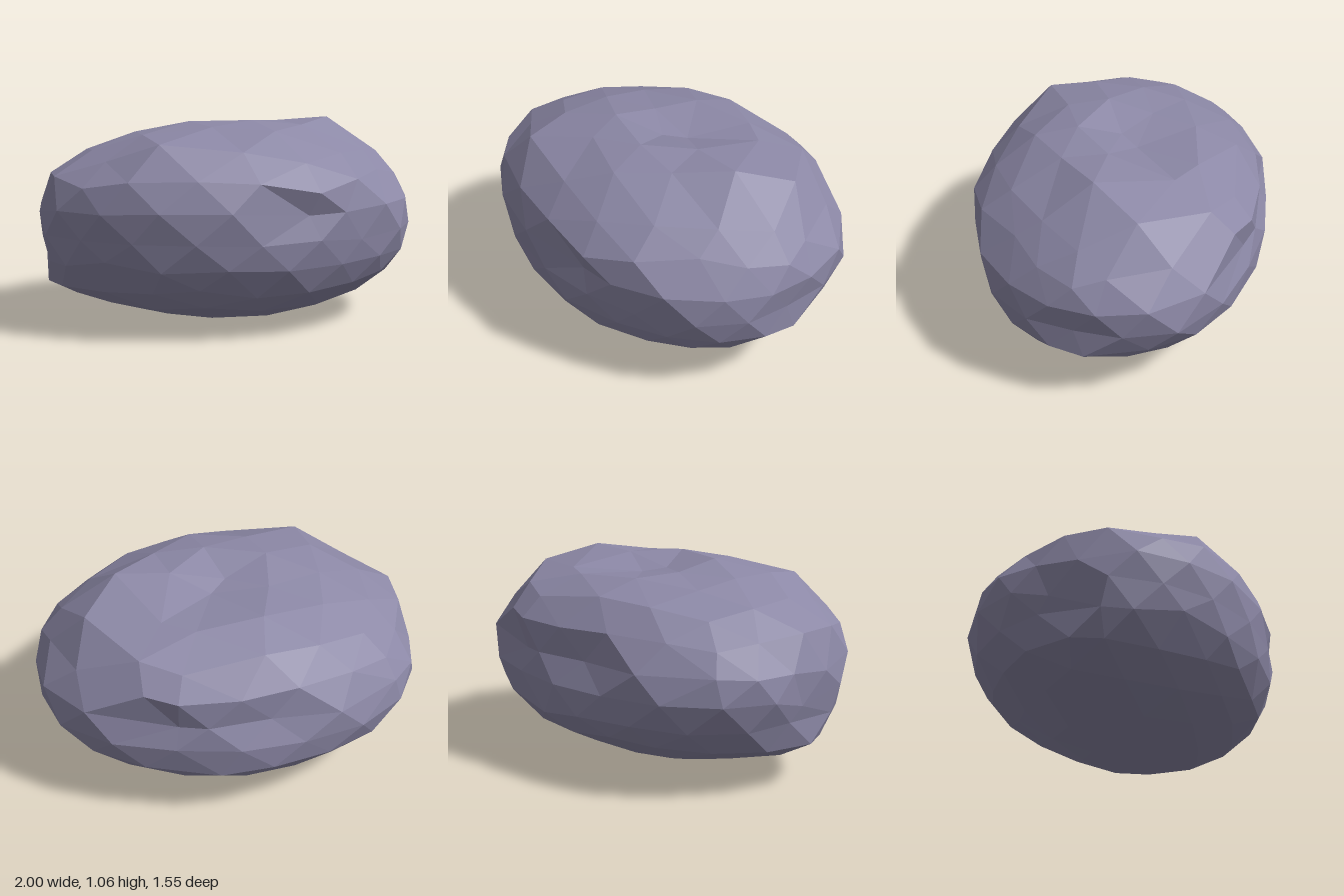
import * as THREE from 'three';
import { mergeVertices } from 'three/addons/utils/BufferGeometryUtils.js';

const CENTRE = new THREE.Vector3(0, 0.5, 0);
const RADII = new THREE.Vector3(1, 0.5, 0.76);

// Landmarks on the stone that the surface passes through
const landmarks = [
  // summit and ridge
  [0.56, 1.06, 0], [0.72, 0.98, -0.25], [0.35, 1.03, 0.22], [0.15, 1.01, 0.42], [-0.15, 1.03, 0.33],
  // front rim
  [-0.05, 0.92, 0.58], [-0.45, 0.96, 0.52], [-0.69, 0.87, 0.37], [-0.93, 0.79, 0.22], [-0.73, 0.91, 0.13],
  // top
  [-0.47, 0.96, -0.24], [0.08, 0.97, -0.1], [0.35, 0.99, -0.35], [0.47, 0.92, -0.55], [-0.13, 0.93, -0.58],
  // back ledge with the hollow under it
  [0.46, 0.8, -0.67], [0.3, 0.78, -0.73], [0, 0.78, -0.73], [0.3, 0.62, -0.7], [-0.15, 0.63, -0.7],
  // low shoulder at the back and right end
  [-0.5, 0.63, -0.69], [-0.82, 0.63, -0.48], [-0.94, 0.62, -0.33], [-0.98, 0.62, -0.12], [-1, 0.6, 0.1],
  // front ledge and sloped corner
  [0, 0.78, 0.72], [0.3, 0.73, 0.72], [0.53, 0.78, 0.59], [0.72, 0.8, 0.35], [0.25, 0.62, 0.69],
  // left end
  [0.91, 0.78, -0.15], [1, 0.63, -0.12], [0.97, 0.49, 0], [0.98, 0.34, -0.05], [0.84, 0.7, -0.47], [0.82, 0.5, 0.45],
  // waist
  [0, 0.49, 0.76], [0.55, 0.48, 0.61], [-0.47, 0.36, 0.66], [-0.72, 0.4, 0.52], [-0.96, 0.36, 0.2],
  [-0.98, 0.45, -0.05], [-0.96, 0.23, 0.05], [0.1, 0.33, -0.76],
  // underside
  [0, 0.22, 0.66], [0.85, 0.22, 0], [0, 0.14, -0.5], [-0.52, 0.08, 0], [0, 0, 0],
].map((p) => {
  const point = new THREE.Vector3(...p);
  const dir = point.clone().sub(CENTRE).divide(RADII);
  const reach = dir.length();
  return { point, dir: dir.normalize(), reach };
});

// Blends the landmarks' reach by closeness and moves a sphere point onto the stone
function shape(d) {
  let sum = 0.5; // faint pull towards the plain ellipsoid
  let total = 0.5;
  for (const { dir, reach } of landmarks) {
    const w = 1 / (Math.pow(d.angleTo(dir), 4) + 1e-4);
    sum += w * reach;
    total += w;
  }
  return d.clone().multiplyScalar(sum / total).multiply(RADII).add(CENTRE);
}

function rockGeometry() {
  // Faceted sphere with a corner at each pole
  const sphere = new THREE.IcosahedronGeometry(1, 3);
  sphere.rotateZ(-Math.atan(2 / (1 + Math.sqrt(5))));
  sphere.deleteAttribute('normal');
  sphere.deleteAttribute('uv');
  const geo = mergeVertices(sphere, 1e-3);
  const pos = geo.attributes.position;

  const dirs = [];
  for (let i = 0; i < pos.count; i++) dirs.push(new THREE.Vector3().fromBufferAttribute(pos, i).normalize());
  const corners = dirs.map(shape);

  // The nearest free corner moves exactly onto each landmark
  const taken = new Set();
  for (const { point, dir } of landmarks) {
    let best = -1;
    let bestAngle = 0.165;
    dirs.forEach((d, i) => {
      const angle = d.angleTo(dir);
      if (angle < bestAngle && !taken.has(i)) {
        best = i;
        bestAngle = angle;
      }
    });
    if (best < 0) continue;
    taken.add(best);
    corners[best].copy(point);
  }
  corners.forEach((c, i) => pos.setXYZ(i, c.x, c.y, c.z));

  const faceted = geo.toNonIndexed();
  faceted.computeVertexNormals();
  return faceted;
}

export function createModel() {
  const group = new THREE.Group();
  group.name = 'boulder';
  const stone = new THREE.MeshStandardMaterial({ color: 0x8c88a6, flatShading: true });
  stone.name = 'greyVioletStone';
  const rock = new THREE.Mesh(rockGeometry(), stone);
  rock.name = 'rock';
  group.add(rock);
  return group;
}
